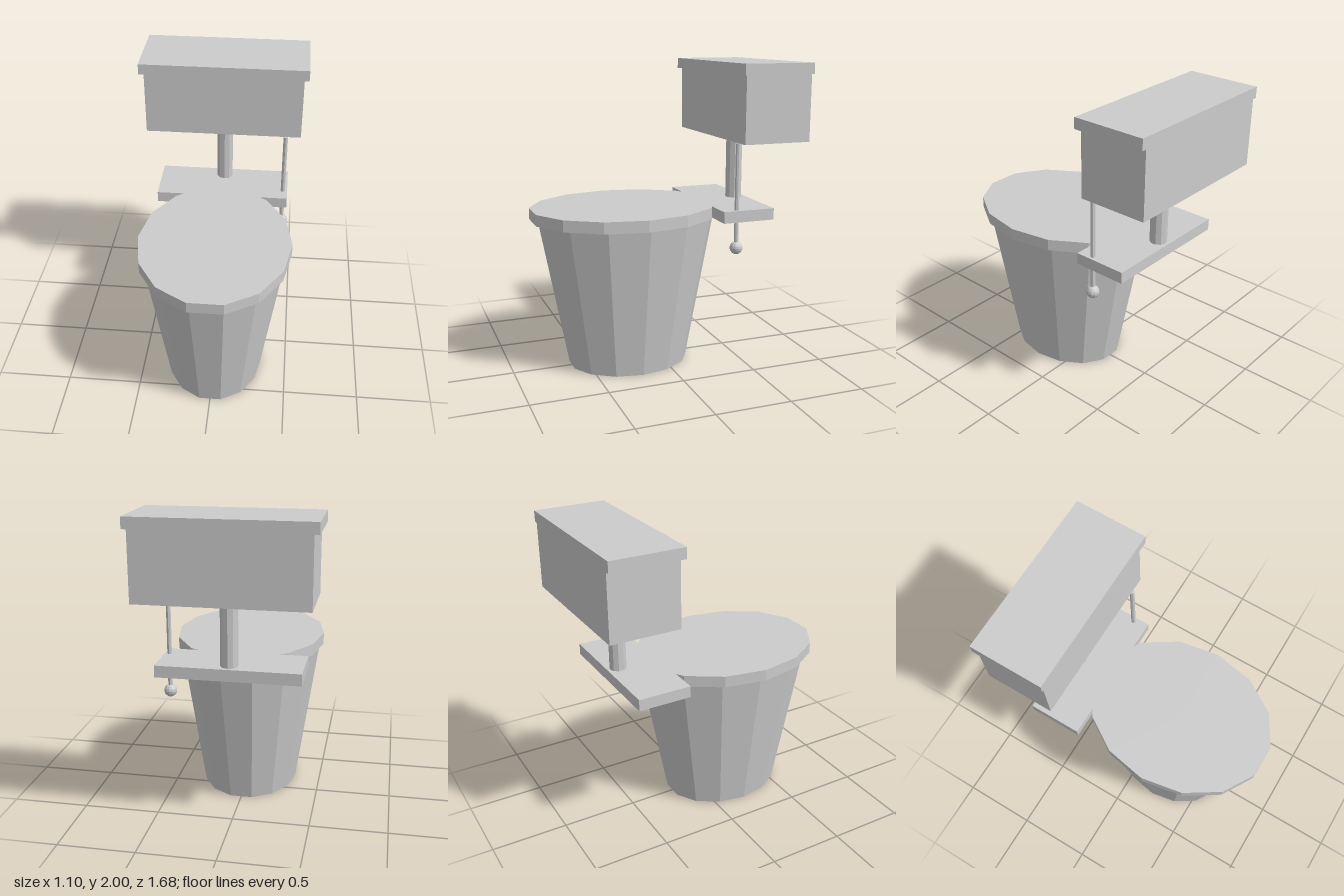
import * as THREE from 'three';

export function createModel() {
  const model = new THREE.Group();
  model.name = 'highTankToilet';
  const grey = new THREE.MeshStandardMaterial({ color: 0xcccccc, flatShading: true });
  grey.name = 'plain grey';

  const add = (name, geometry, x, y, z) => {
    const mesh = new THREE.Mesh(geometry, grey);
    mesh.name = name;
    mesh.position.set(x, y, z);
    model.add(mesh);
  };

  // Box given by its half width and its y and z ranges
  const box = (name, halfX, y0, y1, z0, z1) =>
    add(name, new THREE.BoxGeometry(halfX * 2, y1 - y0, z1 - z0), 0, (y0 + y1) / 2, (z0 + z1) / 2);

  // Upright prism between two heights, turned half a facet if wanted
  const prism = (name, rTop, rBottom, sides, y0, y1, x, z, stretch = 1, turn = 0) => {
    const g = new THREE.CylinderGeometry(rTop, rBottom, y1 - y0, sides, 1, false, turn);
    g.scale(1, 1, stretch);
    add(name, g, x, (y0 + y1) / 2, z);
  };

  // Oval tapering bowl and its closed seat
  const halfFacet = Math.PI / 14;
  prism('bowl', 0.475, 0.325, 14, 0, 1, 0, 0.21, 1.25, halfFacet);
  prism('seat', 0.5, 0.5, 14, 1, 1.075, 0, 0.23, 1.252, halfFacet);
  box('seatShelf', 0.45, 1, 1.075, -0.64, -0.29);

  // Flush pipe up to the raised tank
  prism('flushPipe', 0.055, 0.055, 10, 1.075, 1.505, 0, -0.565);
  box('tank', 0.52, 1.505, 1.93, -0.84, -0.39);
  box('tankLid', 0.55, 1.93, 2, -0.84, -0.367);

  // Pull rod with a ball handle
  prism('pullRod', 0.015, 0.015, 8, 0.84, 1.505, 0.42, -0.39);
  add('pullBall', new THREE.SphereGeometry(0.042, 12, 8), 0.42, 0.828, -0.39);

  return model;
}
